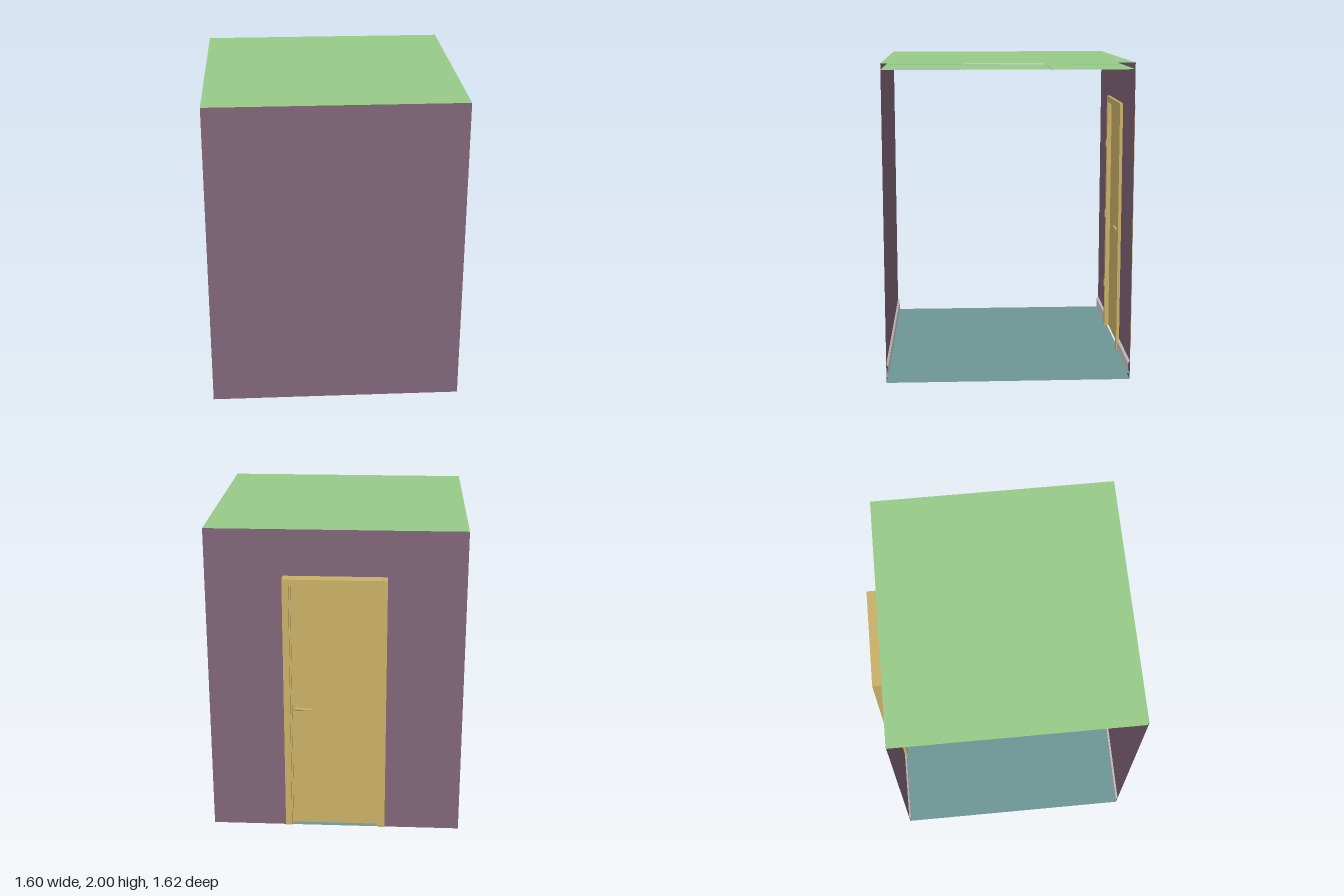
import * as THREE from 'three';

const mat = (color) => new THREE.MeshStandardMaterial({ color, side: THREE.DoubleSide, flatShading: true });
const purple = mat(0x806577), green = mat(0x97cb89), blue = mat(0x6d9796), wood = mat(0xc9b067), grey = mat(0xcccccc);

const W = 0.8, FRONT = 0.81, BACK = -0.73, MID = (FRONT + BACK) / 2, DEPTH = FRONT - BACK;

function add(parent, name, geometry, material, x = 0, y = 0, z = 0) {
  const mesh = new THREE.Mesh(geometry, material);
  mesh.name = name;
  mesh.position.set(x, y, z);
  parent.add(mesh);
  return mesh;
}

const box = (parent, name, w, h, d, material, x, y, z) =>
  add(parent, name, new THREE.BoxGeometry(w, h, d), material, x, y, z);

// Horizontal sheet facing up or down
function slab(parent, name, w, d, material, x, y, z, up = true) {
  const g = new THREE.PlaneGeometry(w, d).rotateX(up ? -Math.PI / 2 : Math.PI / 2);
  return add(parent, name, g, material, x, y, z);
}

// Upside-down U outline, open at the bottom
function archShape(outer, inner, bottom, top, innerTop) {
  return new THREE.Shape([
    [-outer, bottom], [-inner, bottom], [-inner, innerTop], [inner, innerTop],
    [inner, bottom], [outer, bottom], [outer, top], [-outer, top],
  ].map(([x, y]) => new THREE.Vector2(x, y)));
}

// Skirting strip: open shell with a sloped top edge
function skirting(parent, x0, x1, z, dir) {
  const profile = [[0.12, 0], [0.105, 0.012], [0.04, 0.012]];
  const pos = [], index = [];
  for (let i = 0; i < 2; i++) {
    const [a, b] = [profile[i], profile[i + 1]];
    for (const [x, p] of [[x0, a], [x1, a], [x1, b], [x0, b]]) pos.push(x, p[0], z + dir * p[1]);
    const k = i * 4;
    index.push(...(dir > 0 ? [k, k + 2, k + 1, k, k + 3, k + 2] : [k, k + 1, k + 2, k, k + 2, k + 3]));
  }
  const g = new THREE.BufferGeometry();
  g.setAttribute('position', new THREE.Float32BufferAttribute(pos, 3));
  g.setIndex(index);
  g.computeVertexNormals();
  add(parent, 'skirting', g, grey);
}

function makeDoor() {
  const door = new THREE.Group();
  door.name = 'door';
  const frame = new THREE.ExtrudeGeometry(archShape(0.32, 0.28, 0.04, 1.71, 1.67), { depth: 0.1, bevelEnabled: false });
  add(door, 'doorFrame', frame, wood, 0, 0, -0.81);
  const stop = new THREE.ExtrudeGeometry(archShape(0.28, 0.27, 0.04, 1.67, 1.66), { depth: 0.015, bevelEnabled: false });
  add(door, 'doorStop', stop, wood, 0, 0, -0.79);
  box(door, 'doorPanel', 0.56, 1.62, 0.035, wood, 0, 0.855, -0.757);

  // Lever handles on both faces
  for (const s of [1, -1]) {
    const z = -0.757 + s * 0.0175;
    const rose = new THREE.CylinderGeometry(0.02, 0.02, 0.006, 16).rotateX(Math.PI / 2);
    add(door, 'handleRose', rose, wood, 0.24, 0.862, z + s * 0.003);
    const neck = new THREE.CylinderGeometry(0.008, 0.008, 0.035, 12).rotateX(Math.PI / 2);
    add(door, 'handleNeck', neck, wood, 0.24, 0.862, z + s * 0.0175);
    const lever = new THREE.CylinderGeometry(0.007, 0.007, 0.1, 12).rotateZ(Math.PI / 2);
    add(door, 'handleLever', lever, wood, 0.2, 0.862, z + s * 0.033);
  }
  // Hinges on the room side
  for (const y of [0.36, 0.87, 1.38])
    add(door, 'hinge', new THREE.CylinderGeometry(0.007, 0.007, 0.05, 10), wood, -0.28, y, -0.708);
  return door;
}

function makeLamp() {
  const lamp = new THREE.Group();
  lamp.name = 'ceilingLamp';
  const r2 = Math.SQRT2, half = 0.265;
  // Tapered housing, open below
  const profile = [[0, 0.037], [0.248 * r2, 0.037], [0.256 * r2, 0]].map(([x, y]) => new THREE.Vector2(x, y));
  add(lamp, 'lampHousing', new THREE.LatheGeometry(profile, 4, Math.PI / 4), grey);
  // Rim around the opening
  for (const s of [1, -1]) {
    box(lamp, 'lampRim', half * 2, 0.007, 0.015, grey, 0, -0.002, s * (half - 0.0075));
    box(lamp, 'lampRim', 0.015, 0.007, half * 2 - 0.03, grey, s * (half - 0.0075), -0.002, 0);
  }
  // Reflector louvres and tubes
  for (let i = -2; i <= 2; i++) box(lamp, 'longLouvre', 0.01, 0.016, 0.5, grey, i * 0.123, 0.006, 0);
  for (let i = -4; i <= 4; i++) box(lamp, 'crossLouvre', 0.5, 0.014, 0.004, grey, 0, 0.007, i * 0.0555);
  for (let i = -1.5; i <= 1.5; i++) {
    const tube = new THREE.CylinderGeometry(0.009, 0.009, 0.49, 10).rotateX(Math.PI / 2);
    add(lamp, 'lampTube', tube, grey, i * 0.123, 0.024, 0);
  }
  lamp.position.set(0, 1.96, MID);
  return lamp;
}

export function createModel() {
  const room = new THREE.Group();
  room.name = 'room';

  // Walls: plain front, back with a door opening
  add(room, 'frontWall', new THREE.PlaneGeometry(W * 2, 2), purple, 0, 1, FRONT);
  add(room, 'backWall', new THREE.ShapeGeometry(archShape(W, 0.3, 0, 2, 1.69)), purple, 0, 0, BACK);

  // Double floor and roof
  slab(room, 'floorBase', W * 2, DEPTH, blue, 0, 0, MID, false);
  slab(room, 'floor', W * 2, DEPTH, blue, 0, 0.04, MID);
  slab(room, 'roof', W * 2, DEPTH, green, 0, 2, MID);

  // Suspended ceiling tiles around the lamp
  const xs = [-W, -0.265, 0.265, W], zs = [BACK, MID - 0.265, MID + 0.265, FRONT];
  for (let i = 0; i < 3; i++)
    for (let j = 0; j < 3; j++) {
      if (i === 1 && j === 1) continue;
      slab(room, 'ceilingTile', xs[i + 1] - xs[i], zs[j + 1] - zs[j], green,
        (xs[i] + xs[i + 1]) / 2, 1.96, (zs[j] + zs[j + 1]) / 2, false);
    }
  // Ceiling rails
  for (const s of [1, -1]) {
    box(room, 'ceilingRail', 0.008, 0.004, DEPTH, green, s * 0.267, 1.96, MID);
    box(room, 'ceilingRail', W * 2, 0.004, 0.008, green, 0, 1.96, MID + s * 0.267);
  }

  skirting(room, -W, W, FRONT, -1);
  skirting(room, -W, -0.32, BACK, 1);
  skirting(room, 0.32, W, BACK, 1);

  room.add(makeDoor(), makeLamp());
  return room;
}
